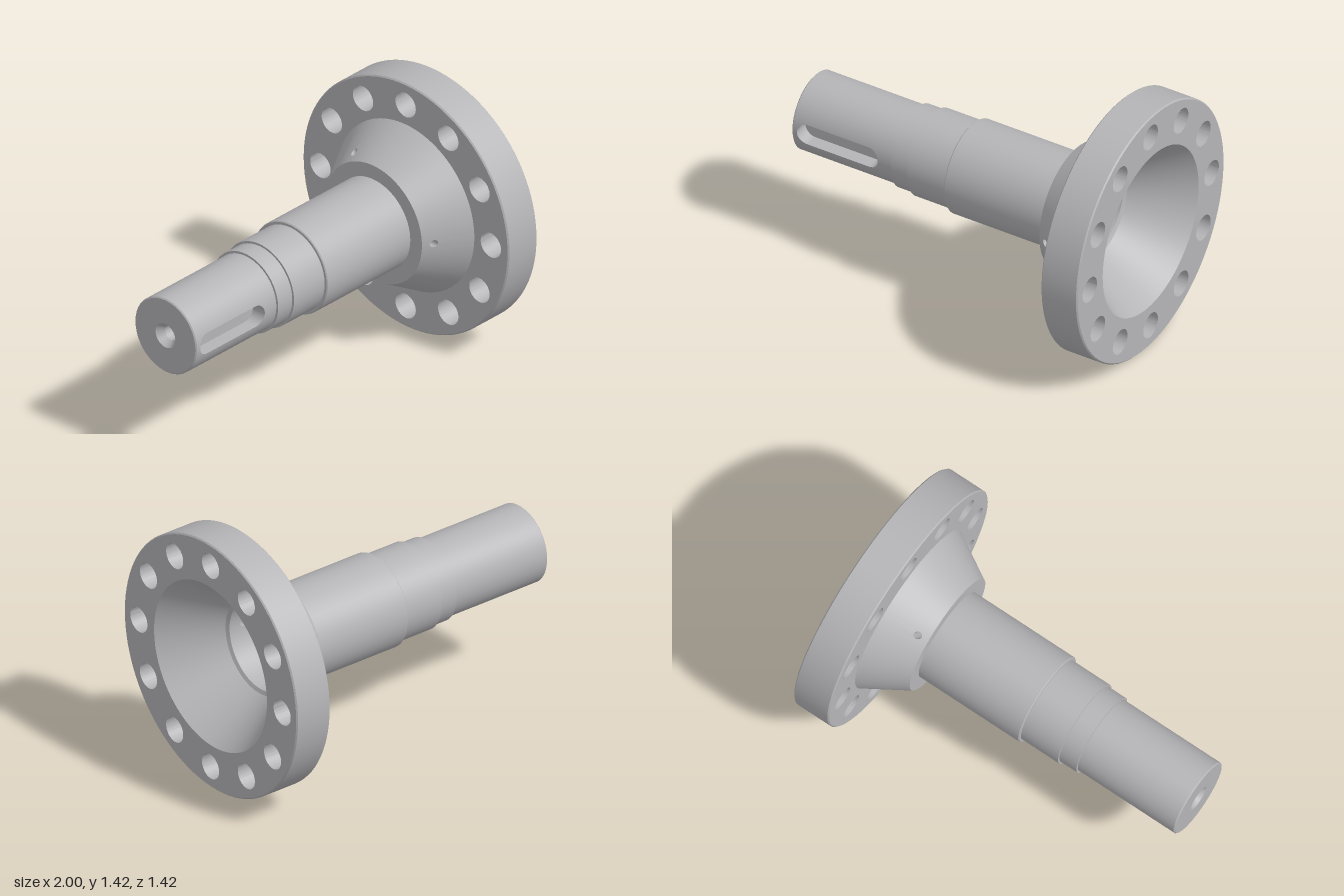
import * as THREE from 'three';
import { toCreasedNormals } from 'three/addons/utils/BufferGeometryUtils.js';

const SEG = 96;

export function createModel() {
  const model = new THREE.Group();
  model.name = 'flangedShaft';
  const axis = new THREE.Group();
  axis.name = 'shaftAxis';
  axis.position.y = 0.71;
  model.add(axis);
  const steel = new THREE.MeshStandardMaterial({ color: 0xb5b5b8, side: THREE.DoubleSide });
  steel.name = 'steel grey';

  const add = (name, geo) => {
    const mesh = new THREE.Mesh(geo, steel);
    mesh.name = name;
    axis.add(mesh);
  };

  // Point on a surface of revolution about x; phi = 0 faces +z
  const polar = (x, r, phi) => [x, -r * Math.sin(phi), r * Math.cos(phi)];

  // Turned surface through [x, radius] points, one crisp band per step
  const turn = (name, profile, start = 0, length = Math.PI * 2) => {
    for (let i = 0; i < profile.length - 1; i++) {
      const pts = [profile[i], profile[i + 1]].map(([x, r]) => new THREE.Vector2(r, x));
      const n = Math.ceil(SEG * length / (Math.PI * 2));
      add(name, new THREE.LatheGeometry(pts, n, start, length).rotateZ(-Math.PI / 2));
    }
  };

  // Ruled surface between two rows of points
  const strip = (name, a, b) => {
    const pos = [], idx = [];
    a.forEach((p, i) => {
      pos.push(...p, ...b[i]);
      if (i) idx.push(2 * i - 2, 2 * i, 2 * i - 1, 2 * i - 1, 2 * i, 2 * i + 1);
    });
    const geo = new THREE.BufferGeometry();
    geo.setAttribute('position', new THREE.Float32BufferAttribute(pos, 3));
    geo.setIndex(idx);
    geo.computeVertexNormals();
    add(name, geo);
  };

  // Shaft end with its centre drilling
  turn('shaftEnd', [[-0.86, 0], [-0.9, 0.04], [-0.96, 0.04], [-1, 0.068], [-1, 0.206], [-0.994, 0.2125]]);

  // Keyed journal, left open where the keyway sits
  const R = 0.2125, kr = 0.06, x0 = -0.994, x1 = -0.405, kL = -0.91, kR = -0.55, floorZ = 0.13;
  const gap = Math.asin(kr / R);
  turn('keyedJournal', [[x0, R], [x1, R]], gap, Math.PI * 2 - 2 * gap);
  const onShaft = (x, y) => [x, y, Math.sqrt(R * R - y * y)];
  const left = [], right = [], endL = [], endR = [];
  for (let i = 0; i <= 24; i++) {
    const t = Math.PI * i / 24, y = -kr * Math.cos(t), dx = kr * Math.sin(t);
    left.push(onShaft(kL - dx, y));
    right.push(onShaft(kR + dx, y));
    endL.push(onShaft(x0, y));
    endR.push(onShaft(x1, y));
  }
  strip('keyedJournal', left, endL);
  strip('keyedJournal', endR, right);

  // Keyway walls and floor
  const rim = [...right, ...left.slice().reverse(), right[0]];
  const bottom = rim.map(([x, y]) => [x, y, floorZ]);
  strip('keywayWall', rim, bottom);
  const floor = new THREE.Shape(bottom.slice(0, -1).map(([x, y]) => new THREE.Vector2(x, y)));
  add('keywayFloor', new THREE.ShapeGeometry(floor).translate(0, 0, floorZ));

  // Stepped shaft up to the shoulder of the cone
  turn('steppedShaft', [[-0.405, R], [-0.405, 0.225], [-0.3, 0.225], [-0.3, 0.237], [-0.072, 0.237],
    [-0.072, 0.25], [-0.067, 0.255], [0.545, 0.255], [0.545, 0.335]]);

  // Band of the hub with three small radial holes; returns the hole rims
  const holeX = 0.6, holeR = 0.02;
  const drilledBand = (name, [xa, ra], [xb, rb], half) => {
    const rims = [];
    const rad = x => ra + (rb - ra) * (x - xa) / (xb - xa);
    const lo = Math.min(xa, xb), hi = Math.max(xa, xb);
    for (let k = 0; k < 3; k++) {
      const phi = k * Math.PI * 2 / 3;
      turn(name, [[xa, ra], [xb, rb]], phi + half, Math.PI * 2 / 3 - 2 * half);
      const inner = [], outer = [];
      for (let i = 0; i <= 32; i++) {
        const t = Math.PI / 4 + Math.PI * 2 * i / 32, c = Math.cos(t), s = Math.sin(t);
        const m = Math.max(Math.abs(c), Math.abs(s));
        const hx = holeX + holeR * c;
        inner.push(polar(hx, rad(hx), phi + holeR * s / rad(hx)));
        const ox = c > 0 ? holeX + (hi - holeX) * c / m : holeX + (holeX - lo) * c / m;
        outer.push(polar(ox, rad(ox), phi + half * s / m));
      }
      strip(name, inner, outer);
      rims.push(inner);
    }
    return rims;
  };
  const outerRims = drilledBand('hubCone', [0.545, 0.335], [0.785, 0.474], 0.09);
  const innerRims = drilledBand('cavityBore', [0.69, 0.24], [0.55, 0.24], 0.12);
  outerRims.forEach((r, k) => strip('oilHole', r, innerRims[k]));

  // Hollow hub: conical mouth, then a stepped, dished bottom
  turn('cavityMouth', [[1, 0.463], [0.7, 0.26], [0.69, 0.24]]);
  turn('cavityBottom', [[0.55, 0.24], [0.5, 0.15]]);
  const dish = [];
  for (let i = 0; i <= 12; i++) {
    const t = i / 12 * Math.PI / 2;
    dish.push(new THREE.Vector2(0.15 * Math.cos(t), 0.5 - 0.1 * Math.sin(t)));
  }
  add('cavityDish', new THREE.LatheGeometry(dish, SEG).rotateZ(-Math.PI / 2));

  // Flange plate with twelve bolt holes
  const plate = new THREE.Shape().absarc(0, 0, 0.703, 0, Math.PI * 2);
  const cut = (x, y, r) => plate.holes.push(new THREE.Path().absarc(x, y, r, 0, Math.PI * 2, true));
  cut(0, 0, 0.463);
  for (let i = 0; i < 12; i++) {
    const a = i * Math.PI / 6;
    cut(0.588 * Math.cos(a), 0.588 * Math.sin(a), 0.07);
  }
  const flange = new THREE.ExtrudeGeometry(plate, { depth: 0.215, bevelEnabled: false, curveSegments: SEG / 2 });
  add('flangePlate', toCreasedNormals(flange.rotateY(Math.PI / 2).translate(0.785, 0, 0), 0.6));

  // Softened flange rim
  turn('flangeRim', [[0.785, 0.703], [0.792, 0.71], [0.993, 0.71], [1, 0.703]]);

  return model;
}
